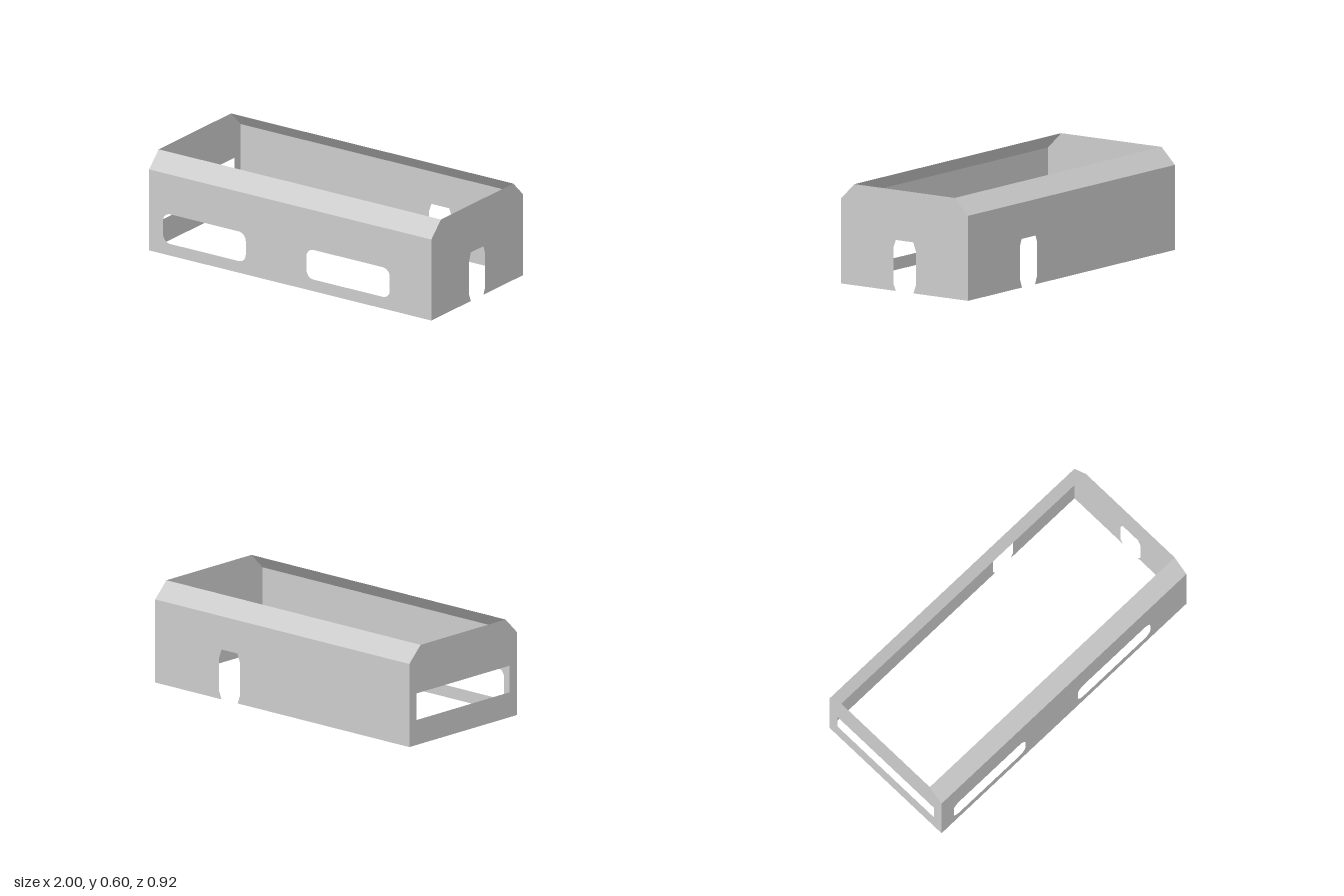
import * as THREE from 'three';

const HALF_L = 1, HALF_W = 0.458, WALL_H = 0.5, TOP_W = 0.362, TOP_H = 0.595;

// Doorway outline as a notch cut up from the wall's bottom edge, left to right
const doorNotch = (cx) => [
  [-0.063, 0], [-0.081, 0.045], [-0.081, 0.25], [-0.063, 0.3],
  [0.063, 0.3], [0.081, 0.25], [0.081, 0.045], [0.063, 0],
].map(([x, y]) => [cx + x, y]);

const outline = (points) => new THREE.Shape(points.map(([x, y]) => new THREE.Vector2(x, y)));

// Window hole with rounded corners
function roundedWindow(x0, x1, y0, y1, r) {
  const p = new THREE.Path();
  p.absarc(x0 + r, y0 + r, r, Math.PI, 1.5 * Math.PI);
  p.absarc(x1 - r, y0 + r, r, 1.5 * Math.PI, 2 * Math.PI);
  p.absarc(x1 - r, y1 - r, r, 0, 0.5 * Math.PI);
  p.absarc(x0 + r, y1 - r, r, 0.5 * Math.PI, Math.PI);
  p.closePath();
  return p;
}

// Wall outline, with optional doorway in the bottom edge
const sideWall = (notch = []) => outline(
  [[-HALF_L, 0], ...notch, [HALF_L, 0], [HALF_L, WALL_H], [-HALF_L, WALL_H]]);
const gableWall = (notch = []) => outline(
  [[-HALF_W, 0], ...notch, [HALF_W, 0], [HALF_W, WALL_H], [TOP_W, TOP_H], [-TOP_W, TOP_H], [-HALF_W, WALL_H]]);

export function createModel() {
  const model = new THREE.Group();
  model.name = 'buildingShell';
  const material = new THREE.MeshStandardMaterial({ color: 0xcccccc, side: THREE.DoubleSide, flatShading: true });

  // Places a flat wall facing the given heading at a distance from the centre
  function addWall(name, shape, heading, distance) {
    const geometry = new THREE.ShapeGeometry(shape, 6);
    geometry.translate(0, 0, distance).rotateY(heading);
    const mesh = new THREE.Mesh(geometry, material);
    mesh.name = name;
    model.add(mesh);
  }

  // Front wall with two long windows
  const front = sideWall();
  front.holes.push(
    roundedWindow(-0.9, -0.315, 0.072, 0.255, 0.05),
    roundedWindow(0.115, 0.705, 0.072, 0.255, 0.05));
  addWall('frontWall', front, 0, HALF_W);

  // Back wall with a doorway
  addWall('backWall', sideWall(doorNotch(-0.415)), Math.PI, HALF_W);

  // End wall with a doorway, and the opposite one with a wide window
  addWall('doorEndWall', gableWall(doorNotch(0)), Math.PI / 2, HALF_L);
  const windowEnd = gableWall();
  windowEnd.holes.push(new THREE.Path([[-0.395, 0.15], [0.395, 0.15], [0.395, 0.31], [-0.395, 0.31]]
    .map(([x, y]) => new THREE.Vector2(x, y))));
  addWall('windowEndWall', windowEnd, -Math.PI / 2, HALF_L);

  // Sloping eaves along both long sides
  const run = HALF_W - TOP_W, rise = TOP_H - WALL_H;
  for (const [name, heading] of [['frontEave', 0], ['backEave', Math.PI]]) {
    const geometry = new THREE.PlaneGeometry(2 * HALF_L, Math.hypot(run, rise));
    geometry.rotateX(-Math.atan2(run, rise));
    geometry.translate(0, (WALL_H + TOP_H) / 2, (HALF_W + TOP_W) / 2).rotateY(heading);
    const eave = new THREE.Mesh(geometry, material);
    eave.name = name;
    model.add(eave);
  }
  return model;
}
